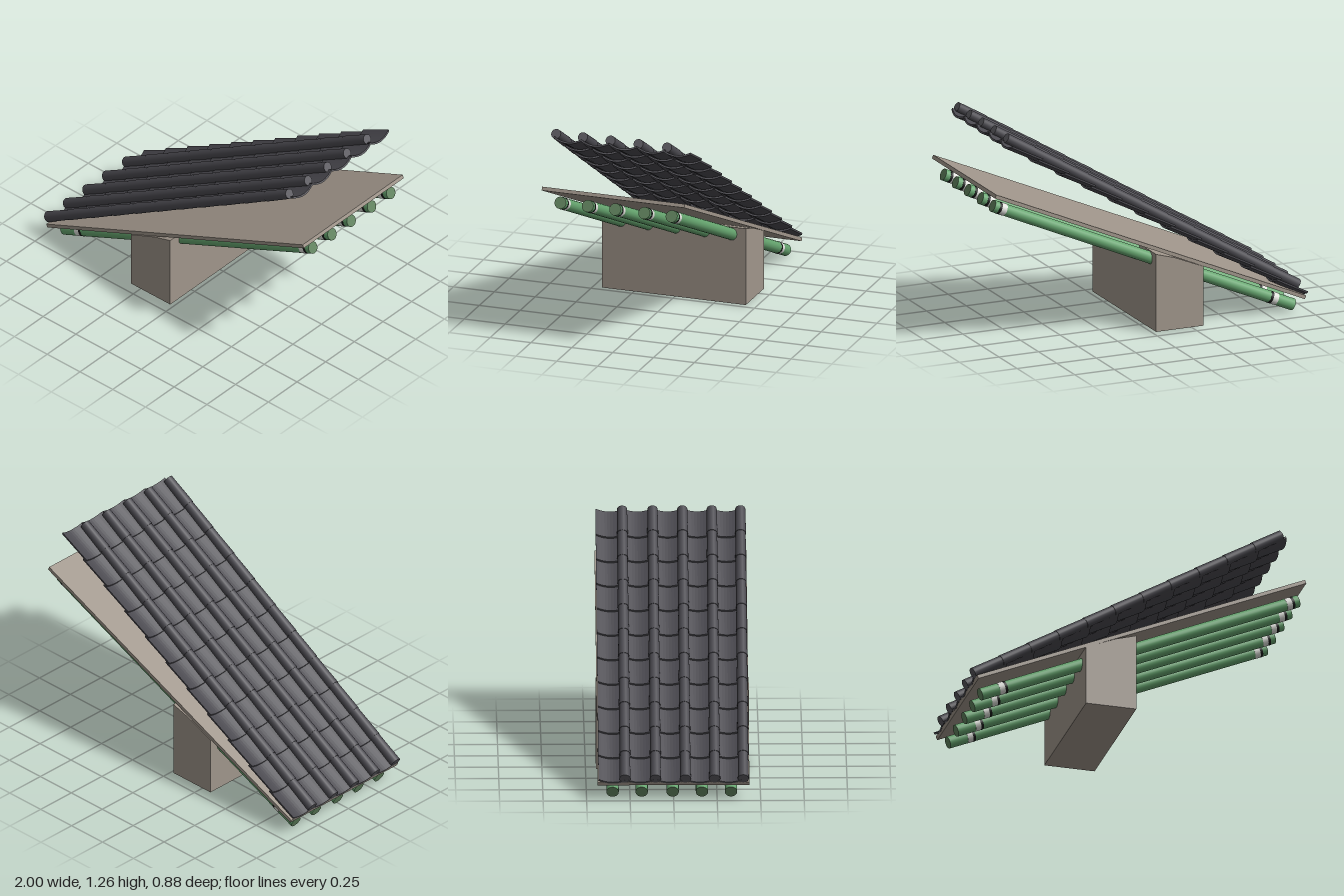
import * as THREE from 'three';

const mat = (name, color) => {
  const m = new THREE.MeshStandardMaterial({ color });
  m.name = name;
  return m;
};

// A group whose local +x runs from point (x0, y0) up the slope to (x1, y1)
function slope(name, x0, y0, x1, y1) {
  const g = new THREE.Group();
  g.name = name;
  g.position.set(x0, y0, 0);
  g.rotation.z = Math.atan2(y1 - y0, x1 - x0);
  return { g, length: Math.hypot(x1 - x0, y1 - y0) };
}

function add(parent, name, geometry, material, x = 0, y = 0, z = 0) {
  const mesh = new THREE.Mesh(geometry, material);
  mesh.name = name;
  mesh.position.set(x, y, z);
  parent.add(mesh);
  return mesh;
}

// Round bar along +x, starting at x = 0
function bar(rLow, rHigh, length) {
  const c = new THREE.CylinderGeometry(rHigh, rLow, length, 20);
  return c.rotateZ(-Math.PI / 2).translate(length / 2, 0, 0);
}

// Curved pan tile: sagging strip of even thickness, extruded along +x
function panTile(width, sag, thick, length) {
  const n = 10, s = new THREE.Shape();
  const pt = (i) => {
    const u = i / n * 2 - 1;
    return [u * width / 2, -sag * (1 - u * u)];
  };
  for (let i = 0; i <= n; i++) {
    const [x, y] = pt(i);
    if (i) s.lineTo(x, y - thick); else s.moveTo(x, y - thick);
  }
  for (let i = n; i >= 0; i--) s.lineTo(...pt(i));
  return new THREE.ExtrudeGeometry(s, { depth: length, bevelEnabled: false }).rotateY(Math.PI / 2);
}

export function createModel() {
  const model = new THREE.Group();
  model.name = 'tiledEaves';
  const stone = mat('beige plaster', 0xa0968b);
  const green = mat('green paint', 0x66a56f);
  const endGreen = mat('muted green', 0x62845f);
  const white = mat('white band', 0xdedfda);
  const black = mat('black band', 0x151716);
  const tile = mat('grey tile', 0x4a494f);
  const tileEnd = mat('light grey tile', 0x59585e);

  // Supporting beam block with a sloping top
  const side = new THREE.Shape([
    [-0.32, 0.01], [-0.02, 0.01], [-0.02, 0.475], [-0.14, 0.44], [-0.32, 0.365],
  ].map(([x, y]) => new THREE.Vector2(x, y)));
  add(model, 'beamBlock', new THREE.ExtrudeGeometry(side, { depth: 0.88, bevelEnabled: false }), stone, 0, 0, -0.44);

  // Sheathing board
  const board = slope('board', -0.965, 0.097, 0.992, 0.948);
  add(board.g, 'boardPanel', new THREE.BoxGeometry(board.length, 0.022, 0.872), stone, board.length / 2);
  model.add(board.g);

  // Round rafters with painted bands near both ends
  const rafters = slope('rafters', -0.922, 0.037, 0.973, 0.868);
  const L = rafters.length, r = 0.0355;
  const rafterGeo = bar(r, r, L);
  const whiteGeo = bar(r + 0.001, r + 0.001, 0.034);
  const blackGeo = bar(r + 0.001, r + 0.001, 0.016);
  for (const z of [0.33, 0.163, -0.005, -0.183, -0.35]) {
    add(rafters.g, 'rafter', rafterGeo, [green, endGreen, endGreen], 0, 0, z);
    add(rafters.g, 'lowerWhiteBand', whiteGeo, white, 0.115, 0, z);
    add(rafters.g, 'lowerBlackBand', blackGeo, black, 0.149, 0, z);
    add(rafters.g, 'upperWhiteBand', whiteGeo, white, L - 0.082, 0, z);
    add(rafters.g, 'upperBlackBand', blackGeo, black, L - 0.048, 0, z);
  }
  model.add(rafters.g);

  // Tile roof: rows of overlapping pans between rows of barrel tiles
  const roof = slope('tileRoof', -0.985, 0.132, 0.855, 1.24);
  const rows = 11, pitch = roof.length / rows;
  const barrelGeo = bar(0.032, 0.029, pitch);
  const panGeo = panTile(0.168, 0.024, 0.011, pitch + 0.022);
  const barrelZ = [0.4, 0.236, 0.067, -0.104, -0.279];
  const panZ = [0.318, 0.152, -0.018, -0.191, -0.348];
  for (let i = 0; i < rows; i++) {
    const s = i * pitch;
    for (const z of barrelZ) add(roof.g, 'barrelTile', barrelGeo, [tile, tileEnd, tileEnd], s, 0, z);
    for (const z of panZ) {
      const pan = add(roof.g, 'panTile', panGeo, [tileEnd, tile], s, -0.003, z);
      pan.rotation.z = -0.07;
    }
  }
  model.add(roof.g);
  return model;
}
